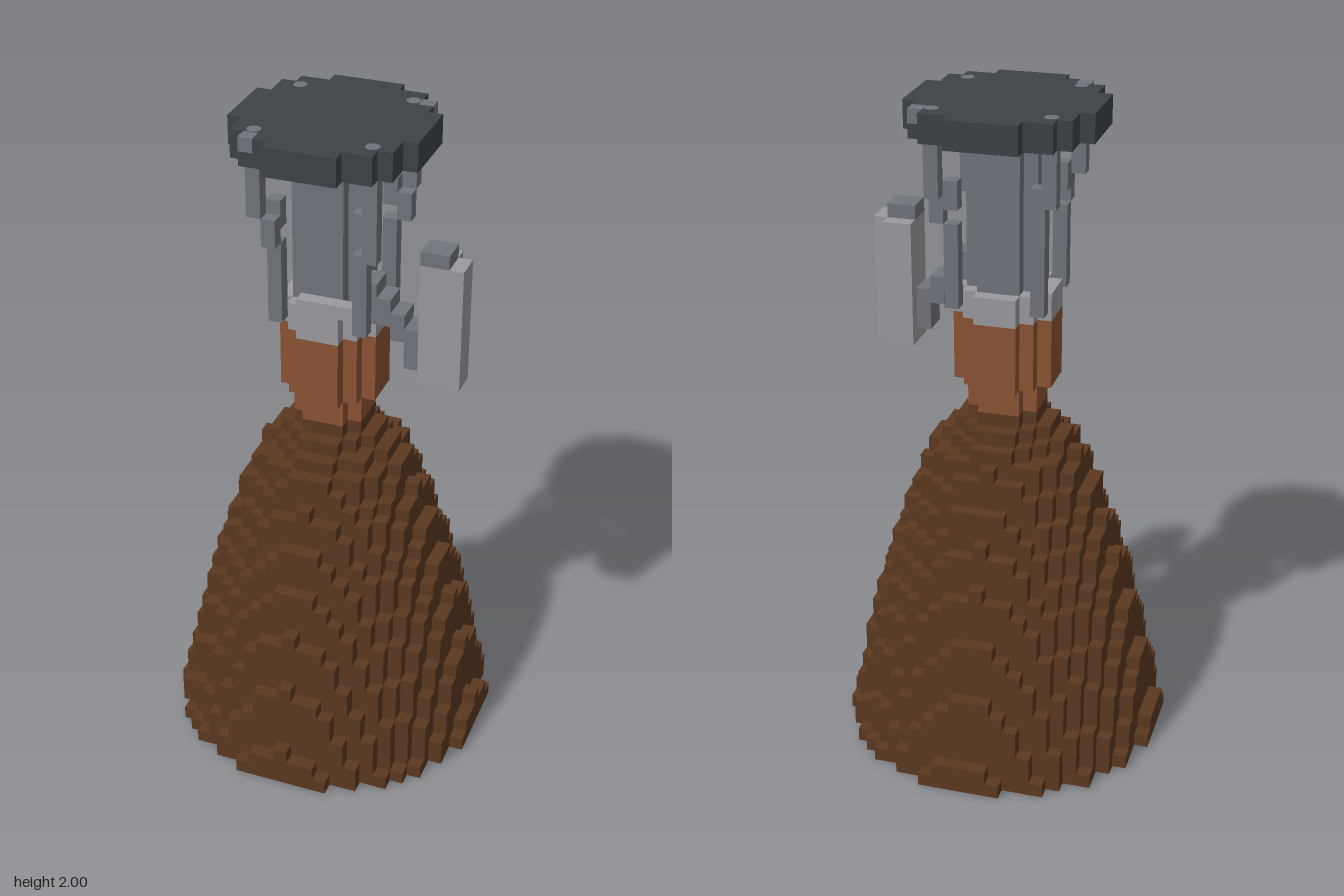
import * as THREE from 'three';

const V = 2 / 48; // edge of one cube; the model is 48 layers tall

const mat = (name, color) => {
  const m = new THREE.MeshStandardMaterial({ color });
  m.name = name;
  return m;
};

// Outer bell radius (in cubes) by layer
const BELL = [[0, 11.44], [2, 11], [7, 10], [11, 9], [14.3, 8], [17.2, 7], [20, 6], [22.2, 5], [23.2, 4], [24.2, 3.3], [25.5, 2.4]];
function bellRadius(y) {
  const i = Math.max(1, BELL.findIndex(p => p[0] >= y));
  const [a, b] = [BELL[i - 1], BELL[i]];
  return a[1] + (b[1] - a[1]) * (y - a[0]) / (b[0] - a[0]);
}

// Six cube faces: outward normal plus two edge directions with u x v = n
const FACES = [];
for (let a = 0; a < 3; a++) for (const s of [1, -1]) {
  const n = [0, 0, 0], u = [0, 0, 0], v = [0, 0, 0];
  n[a] = s;
  u[(a + 1) % 3] = s;
  v[(a + 2) % 3] = 1;
  FACES.push([n, u, v]);
}

export function createModel() {
  const copper = mat('copper', 0x8b5333), steel = mat('steel grey', 0x70757c), light = mat('light grey', 0x9a9a9f);
  const materials = {
    bell: mat('brown', 0x5c3920),
    bellLiner: mat('dark navy', 0x0c0c22),
    throat: copper,
    collar: light,
    chamber: steel,
    struts: steel,
    pump: light,
    pumpCap: steel,
    pipe: steel,
    mountPlate: mat('dark slate', 0x3d4248),
  };

  const cells = new Map();
  const key = (x, y, z) => x + ',' + y + ',' + z;
  const box = (part, x0, x1, y0, y1, z0, z1) => {
    for (let x = x0; x <= x1; x++) for (let y = y0; y <= y1; y++) for (let z = z0; z <= z1; z++)
      cells.set(key(x, y, z), [part, x, y, z]);
  };
  const disc = (part, y0, y1, radius, inner = -1) => {
    for (let y = y0; y <= y1; y++) for (let x = -11; x <= 11; x++) for (let z = -11; z <= 11; z++) {
      const d = Math.hypot(x - 0.04, z - 0.04);
      if (d <= radius && d > inner) box(part, x, x, y, y, z, z);
    }
  };

  // Hollow bell with a dark liner
  for (let y = 0; y <= 25; y++) {
    const r = bellRadius(y);
    disc('bellLiner', y, y, r - 1.5, r - 2.6);
    disc('bell', y, y, r, r - 1.5);
  }

  // Throat, collar and chamber
  disc('throat', 26, 27, 2.5);
  disc('throat', 28, 32, 3.4);
  disc('collar', 33, 34, 3.4);
  box('collar', -1, 2, 35, 35, 3, 3);
  disc('chamber', 35, 45, 2.5);

  // Four stepped struts, flaring outwards below the plate
  for (const sx of [-1, 1]) for (const sz of [-1, 1]) {
    const xs = sx > 0 ? 40 : 42, zs = sz > 0 ? 40 : 42;
    for (let y = 34; y < 46; y++) {
      const x = sx * (y < xs ? 3 : 4), z = sz * (y < zs ? 3 : 4);
      box('struts', x, x, y, y, z, z);
    }
    box('struts', sx * 3, sx * 3, 41, 42, sz * 3, sz * 3);
  }

  // Mounting plate with two strut ends showing at its rim
  disc('mountPlate', 46, 47, 6.5);
  box('struts', 5, 5, 47, 47, -4, -4);
  box('struts', -4, -4, 47, 47, 5, 5);

  // Side pump with cap and stepped feed pipe
  box('pump', 7, 9, 30, 38, -1, 1);
  for (let y = 30; y <= 38; y++) cells.delete(key(9, y, -1));
  box('pumpCap', 7, 8, 39, 39, 0, 1);
  box('pipe', 3, 3, 34, 36, 0, 1);
  box('pipe', 4, 4, 34, 35, 0, 1);
  box('pipe', 5, 5, 33, 34, 0, 1);
  box('pipe', 6, 6, 31, 33, 0, 1);

  // Turn exposed cube faces into one mesh per part
  const model = new THREE.Group();
  model.name = 'rocketEngine';
  for (const [part, material] of Object.entries(materials)) {
    const pos = [], nor = [], idx = [];
    for (const [p, x, y, z] of cells.values()) {
      if (p !== part) continue;
      for (const [n, u, v] of FACES) {
        if (cells.has(key(x + n[0], y + n[1], z + n[2]))) continue;
        const k = pos.length / 3, c = [x, y + 0.5, z];
        for (const [a, b] of [[-1, -1], [1, -1], [1, 1], [-1, 1]]) {
          for (let i = 0; i < 3; i++) pos.push(V * (c[i] + 0.5 * (n[i] + a * u[i] + b * v[i])));
          nor.push(...n);
        }
        idx.push(k, k + 1, k + 2, k, k + 2, k + 3);
      }
    }
    const g = new THREE.BufferGeometry();
    g.setAttribute('position', new THREE.Float32BufferAttribute(pos, 3));
    g.setAttribute('normal', new THREE.Float32BufferAttribute(nor, 3));
    g.setIndex(idx);
    const mesh = new THREE.Mesh(g, material);
    mesh.name = part;
    model.add(mesh);
  }

  // Strut ends seen on top of the plate
  for (const sx of [-1, 1]) for (const sz of [-1, 1]) {
    const end = new THREE.Mesh(new THREE.CylinderGeometry(0.021, 0.021, 0.004, 8), steel);
    end.name = 'strutEnd';
    end.position.set(sx * 4 * V, 1.999, sz * 4 * V);
    model.add(end);
  }
  return model;
}
